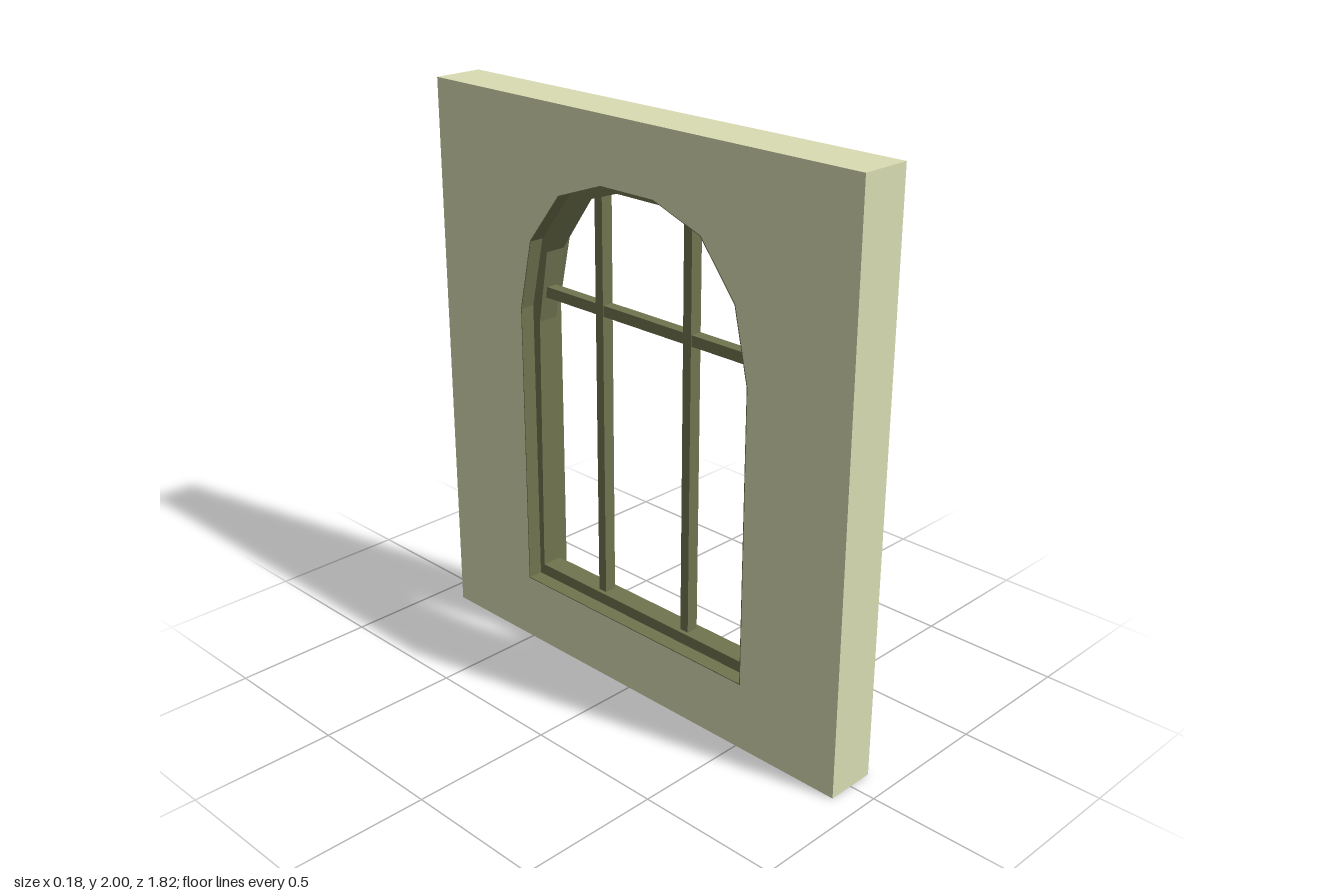
import * as THREE from 'three';

const WALL = { halfWidth: 0.908, height: 2, depth: 0.18 };

// Right halves of the faceted arches, as [across, up], from sill to crown
const OPENING = [[0.512, 0.238], [0.512, 1.273], [0.456, 1.522], [0.313, 1.702], [0.116, 1.772]];
const GLAZING = [[0.488, 0.281], [0.477, 1.22], [0.432, 1.476], [0.289, 1.675], [0.097, 1.74]];
// Exposed face of the thin lining inside the opening
const LINING = OPENING.map(([u, y], i) => [u - (i < 4 ? 0.003 : 0.001), y + (i === 0 ? 0.003 : -0.002)]);

// Mirrors a half arch into a closed outline
function archPoints(half) {
  const mirrored = half.map(([u, y]) => [-u, y]).reverse();
  return [...half, ...mirrored].map(([u, y]) => new THREE.Vector2(u, y));
}

// Extrudes an outline with one hole, centred in depth and turned to lie along z
function ring(name, outer, inner, depth, material) {
  const shape = new THREE.Shape(outer);
  shape.holes.push(new THREE.Path(inner));
  const geometry = new THREE.ExtrudeGeometry(shape, { depth, bevelEnabled: false });
  geometry.translate(0, 0, -depth / 2).rotateY(-Math.PI / 2);
  const mesh = new THREE.Mesh(geometry, material);
  mesh.name = name;
  return mesh;
}

function bar(name, depth, height, length, y, z, material) {
  const mesh = new THREE.Mesh(new THREE.BoxGeometry(depth, height, length), material);
  mesh.position.set(0, y, z);
  mesh.name = name;
  return mesh;
}

export function createModel() {
  const group = new THREE.Group();
  group.name = 'archedWindowWall';
  const plaster = new THREE.MeshStandardMaterial({ color: 0xd9dcb2 });
  const wood = new THREE.MeshStandardMaterial({ color: 0x70744f });

  // Wall panel with the arched opening
  const w = WALL.halfWidth;
  const panel = [[-w, 0], [w, 0], [w, WALL.height], [-w, WALL.height]].map(([u, y]) => new THREE.Vector2(u, y));
  group.add(ring('wall', panel, archPoints(OPENING), WALL.depth, plaster));

  // Dark lining of the opening and the window frame set back inside it
  group.add(ring('openingLining', archPoints(OPENING), archPoints(LINING), WALL.depth, wood));
  group.add(ring('windowFrame', archPoints(OPENING), archPoints(GLAZING), 0.075, wood));

  // Two uprights and one crossbar, their ends sunk into the frame
  for (const side of [1, -1]) {
    const name = side > 0 ? 'frontUpright' : 'backUpright';
    group.add(bar(name, 0.044, 1.46, 0.034, 0.99, side * 0.198, wood));
  }
  group.add(bar('crossbar', 0.04, 0.038, 0.955, 1.326, 0, wood));

  return group;
}
